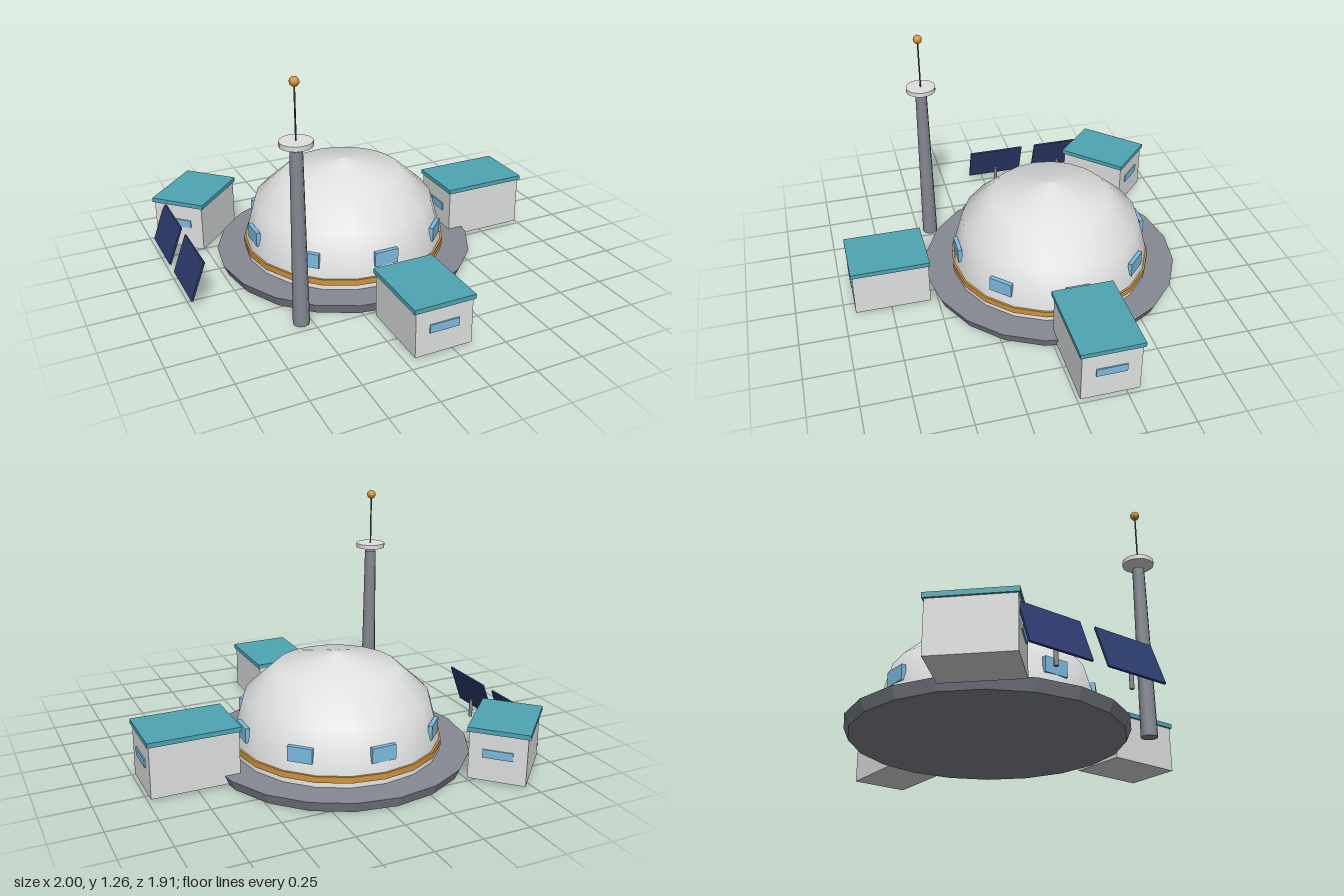
import * as THREE from 'three';

const paint = (name, color) => {
  const m = new THREE.MeshStandardMaterial({ color });
  m.name = name;
  return m;
};

export function createModel() {
  const white = paint('hull white', 0xdfe0e0);
  const grey = paint('concrete grey', 0x868993);
  const teal = paint('roof teal', 0x4fa5b3);
  const blue = paint('window blue', 0x7dbce2);
  const gold = paint('trim gold', 0xd0943c);
  const navy = paint('solar navy', 0x2d3c70);
  const dark = paint('mast dark', 0x4a4c52);

  const model = new THREE.Group();
  model.name = 'domeBase';

  const add = (parent, name, geometry, material, x = 0, y = 0, z = 0) => {
    const mesh = new THREE.Mesh(geometry, material);
    mesh.name = name;
    mesh.position.set(x, y, z);
    parent.add(mesh);
    return mesh;
  };
  const group = (name, x, z, turn = 0) => {
    const g = new THREE.Group();
    g.name = name;
    g.position.set(x, 0, z);
    g.rotation.y = turn;
    model.add(g);
    return g;
  };
  const box = (w, h, d) => new THREE.BoxGeometry(w, h, d);
  const flat = (geometry) => {
    const g = geometry.toNonIndexed();
    g.computeVertexNormals();
    return g;
  };

  // Main dome on its flared foundation
  const hub = group('dome', -0.055, -0.164);
  add(hub, 'foundation', flat(new THREE.CylinderGeometry(0.695, 0.67, 0.057, 20)), grey, 0, 0.0285, 0);
  const profile = [[0.543, 0.05], [0.535, 0.14], [0.482, 0.335], [0.32, 0.483], [0, 0.555]]
    .map(([r, y]) => new THREE.Vector2(r, y));
  add(hub, 'domeShell', new THREE.LatheGeometry(profile, 20), white);
  add(hub, 'domeBand', new THREE.CylinderGeometry(0.548, 0.548, 0.032, 20), gold, 0, 0.099, 0);

  // Eight windows around the dome
  for (let i = 0; i < 8; i++) {
    const a = (i * Math.PI) / 4;
    const w = add(hub, 'domeWindow', box(0.128, 0.078, 0.022), blue,
      Math.sin(a) * 0.518, 0.206, Math.cos(a) * 0.518);
    w.rotation.y = a;
  }

  // Outer modules: body, overhanging roof and a window at each end
  const addModule = (name, x, z, turn, w, l, top) => {
    const g = group(name, x, z, turn);
    const floor = 0.012;
    add(g, 'moduleBody', box(w, top - floor, l), white, 0, (top + floor) / 2, 0);
    add(g, 'moduleRoof', box(w * 1.075, 0.024, l * 1.04), teal, 0, top + 0.012, 0);
    for (const s of [-1, 1]) {
      add(g, 'moduleWindow', box(w * 0.52, 0.043, 0.009), blue,
        0, floor + (top - floor) * 0.58, s * (l / 2 + 0.002));
    }
  };
  addModule('frontModule', -0.055, 0.741, 0, 0.3, 0.4, 0.248);
  addModule('leftModule', 0.761, -0.164, Math.PI / 2, 0.302, 0.45, 0.281);
  addModule('backModule', -0.734, -0.707, -Math.PI / 4, 0.286, 0.382, 0.262);

  // Antenna tower
  const tower = group('antennaTower', -0.553, 0.427);
  add(tower, 'towerShaft', new THREE.CylinderGeometry(0.031, 0.042, 0.91, 10), grey, 0, 0.455, 0);
  add(tower, 'towerDisc', new THREE.CylinderGeometry(0.08, 0.08, 0.024, 16), white, 0, 0.945, 0);
  add(tower, 'mast', new THREE.CylinderGeometry(0.004, 0.004, 0.27, 6), dark, 0, 1.09, 0);
  add(tower, 'beacon', new THREE.SphereGeometry(0.024, 12, 8), gold, 0, 1.235, 0);

  // Tilted solar panels on short posts
  for (const z of [-0.481, -0.073]) {
    const g = group('solarPanel', -0.959, z);
    add(g, 'panelPost', new THREE.CylinderGeometry(0.01, 0.01, 0.1, 8), grey, 0, 0.05, 0);
    const panel = add(g, 'panel', box(0.01, 0.216, 0.325), navy, 0, 0.151, 0);
    panel.rotation.z = -0.35;
  }
  return model;
}
